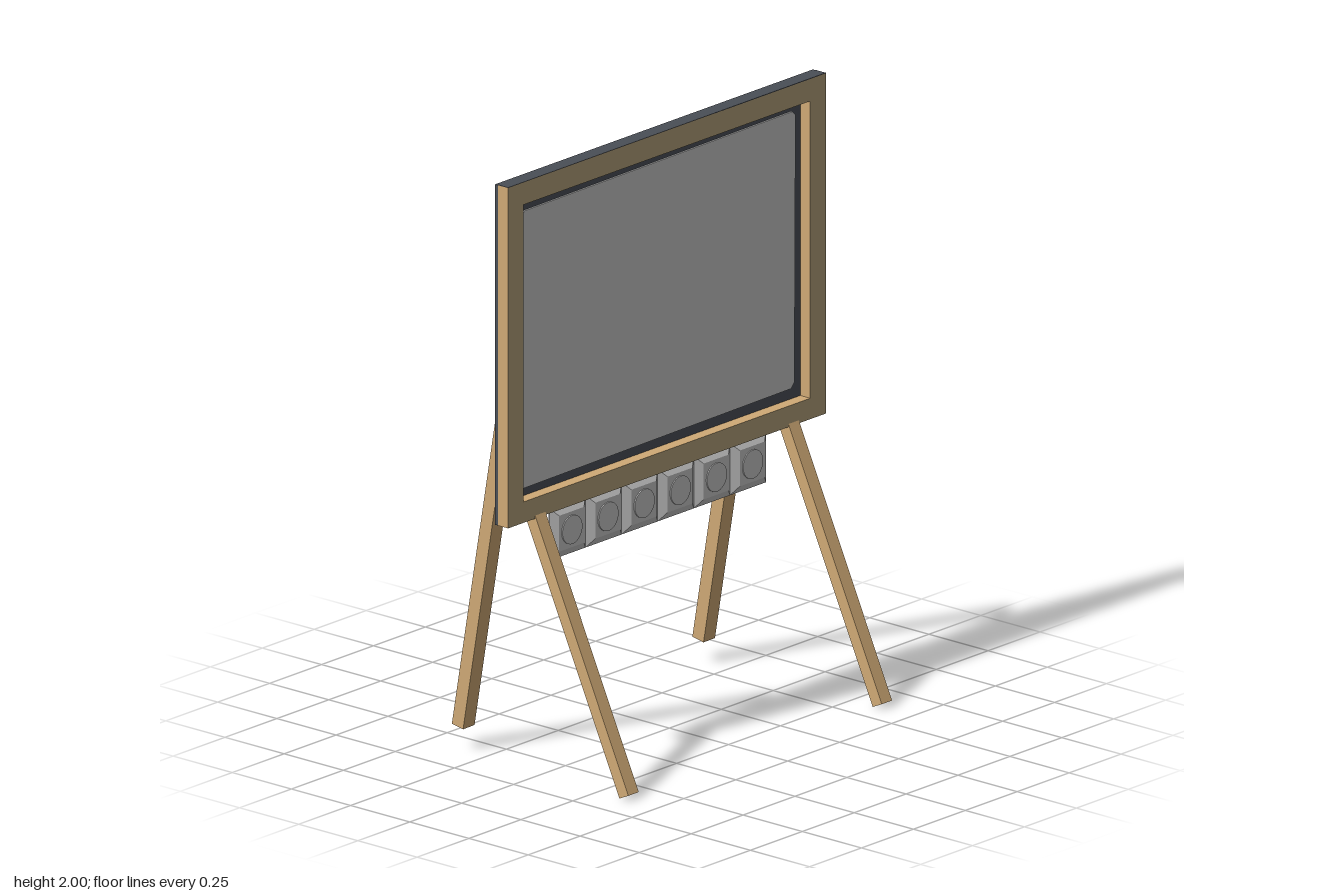
import * as THREE from 'three';

const mat = (name, color, side = THREE.FrontSide) => {
  const m = new THREE.MeshStandardMaterial({ color, side });
  m.name = name;
  return m;
};

export function createModel() {
  const wood = mat('wood', 0xd0aa76);
  const trim = mat('frame front', 0xb3a07a);
  const dark = mat('slate backing', 0x4a4f57);
  const grey = mat('light grey', 0xc6c6c6);
  const root = new THREE.Group();
  root.name = 'standingBoard';

  const add = (parent, name, geo, material, x = 0, y = 0, z = 0) => {
    const m = new THREE.Mesh(geo, material);
    m.name = name;
    m.position.set(x, y, z);
    parent.add(m);
    return m;
  };
  const box = (parent, name, w, h, d, material, x, y, z) =>
    add(parent, name, new THREE.BoxGeometry(w, h, d), material, x, y, z);

  // Group whose y axis runs from a to b, origin at a, x kept near world x
  const beam = (name, a, b) => {
    const y = b.clone().sub(a), length = y.length();
    y.normalize();
    const z = new THREE.Vector3(1, 0, 0).cross(y).normalize();
    const x = y.clone().cross(z);
    const g = new THREE.Group();
    g.name = name;
    g.quaternion.setFromRotationMatrix(new THREE.Matrix4().makeBasis(x, y, z));
    g.position.copy(a);
    root.add(g);
    return { g, length };
  };
  const v = (x, y, z) => new THREE.Vector3(x, y, z);

  // Frame with a rectangular opening; face and sides differ in colour
  const W = 0.765, bottom = 0.86, top = 2.0;
  const outline = new THREE.Shape([
    [-W, bottom], [W, bottom], [W, top], [-W, top],
  ].map(p => new THREE.Vector2(...p)));
  outline.holes.push(new THREE.Path([
    [-0.69, 0.93], [-0.69, 1.925], [0.69, 1.925], [0.69, 0.93],
  ].map(p => new THREE.Vector2(...p))));
  add(root, 'frame', new THREE.ExtrudeGeometry(outline, { depth: 0.042, bevelEnabled: false }),
    [trim, wood], 0, 0, -0.052);

  // Backing panel and its strip over the top edge
  box(root, 'backPanel', W * 2, top - bottom, 0.013, dark, 0, (top + bottom) / 2, -0.0585);
  box(root, 'topEdge', W * 2, 0.002, 0.042, dark, 0, top, -0.031);

  // Slightly uneven sheet inside the frame
  const sheet = new THREE.Shape([
    [-0.675, 0.98], [-0.652, 0.957], [0.64, 0.967], [0.655, 0.985],
    [0.66, 1.88], [0.645, 1.893], [-0.645, 1.885], [-0.663, 1.865],
  ].map(p => new THREE.Vector2(...p)));
  add(root, 'sheet', new THREE.ExtrudeGeometry(sheet, { depth: 0.006, bevelEnabled: false }),
    grey, 0, 0, -0.052);

  // Row of bevelled tiles, each with a round button
  const tiles = 6, size = 0.174;
  const tileGeo = new THREE.CylinderGeometry(0.06 * Math.SQRT2, size / Math.SQRT2, 0.018, 4, 1)
    .toNonIndexed();
  tileGeo.rotateY(Math.PI / 4).rotateX(Math.PI / 2);
  tileGeo.computeVertexNormals();
  const buttonGeo = new THREE.CylinderGeometry(0.048, 0.048, 0.005, 32).rotateX(Math.PI / 2);
  const row = new THREE.Group();
  row.name = 'buttonRow';
  row.position.set(0.003, 0.768, 0);
  root.add(row);
  box(row, 'rowBack', size * tiles, size, 0.004, grey, 0, 0, -0.054);
  for (let i = 0; i < tiles; i++) {
    const x = (i - (tiles - 1) / 2) * size;
    add(row, 'tile', tileGeo, grey, x, 0, -0.043);
    add(row, 'button', buttonGeo, grey, x, 0, -0.0325);
  }

  for (const s of [-1, 1]) {
    // Front leg leaning out from the lower edge
    const front = beam('frontLeg', v(s * 0.61, 0.01, 0.365), v(s * 0.61, 0.872, -0.034));
    box(front.g, 'frontLegBar', 0.05, front.length, 0.042, wood, 0, front.length / 2, 0);

    // Rear leg, forked at the top; both lean the same way in x
    const xTop = s < 0 ? -0.602 : 0.556, xFoot = xTop + 0.022;
    const rear = beam('rearLeg', v(xFoot, 0.08, -0.362), v(xTop, 1.258, -0.14));
    const fork = 0.1, bar = rear.length - fork;
    box(rear.g, 'rearLegBar', 0.055, bar, 0.048, wood, 0, bar / 2, 0);
    for (const p of [-1, 1])
      box(rear.g, 'forkProng', 0.017, fork, 0.048, wood, p * 0.019, bar + fork / 2, 0);

    // Strut from the backing through the fork, held by a pin
    const strut = beam('strut', v(xTop + 0.016, 1.138, -0.06), v(xTop + 0.001, 1.212, -0.178));
    box(strut.g, 'strutBar', 0.02, strut.length, 0.022, wood, 0, strut.length / 2, 0);
    const pin = add(rear.g, 'pin', new THREE.CylinderGeometry(0.007, 0.007, 0.06, 12), wood,
      0, bar + 0.04, 0);
    pin.rotation.z = Math.PI / 2;
  }
  return root;
}
